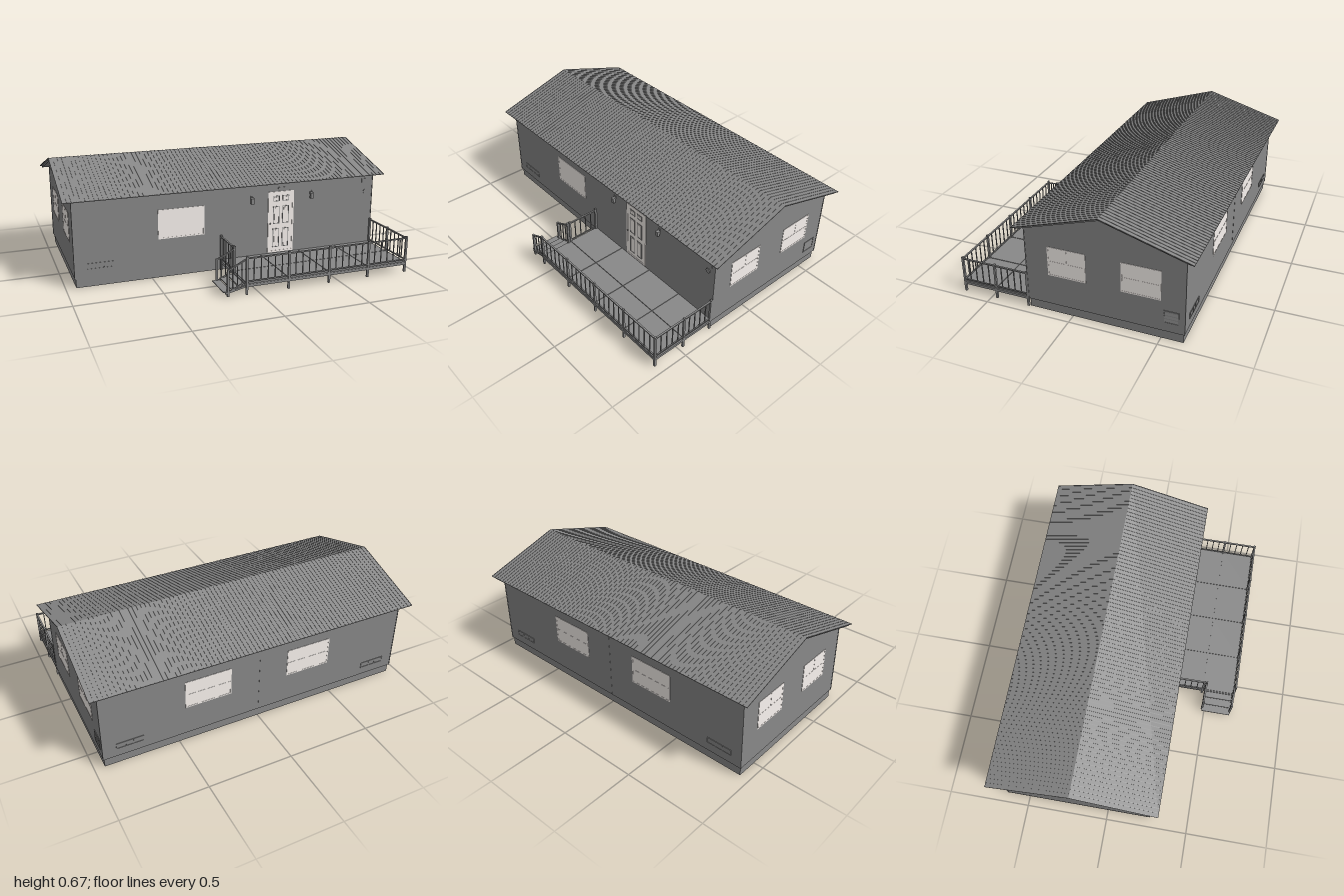
import * as THREE from 'three';
import { mergeGeometries } from 'three/addons/utils/BufferGeometryUtils.js';

const grey = new THREE.MeshStandardMaterial({ color: 0x888888 });
const pale = new THREE.MeshStandardMaterial({ color: 0xfaf4f0 });

const RIDGE_Z = -0.185, RIDGE_Y = 0.662, SLOPE = 0.304;
const FRONT = 0.263, BACK = -0.628, SIDE = 0.947, FLOOR = 0.053;
const DECK_Y = 0.065, DECK_FRONT = 0.67, DECK_LEFT = 0.943, DECK_RIGHT = -0.075, DECK_MID = 0.468, STAIR_Z = 0.484;

function group(parent, name) {
  const g = new THREE.Group();
  g.name = name;
  parent.add(g);
  return g;
}

function add(parent, name, geometry, material = grey) {
  const mesh = new THREE.Mesh(geometry, material);
  mesh.name = name;
  parent.add(mesh);
  return mesh;
}

// Box given by its extents along each axis
function block(parent, name, [x0, x1], [y0, y1], [z0, z1], material) {
  const mesh = add(parent, name, new THREE.BoxGeometry(x1 - x0, y1 - y0, z1 - z0), material);
  mesh.position.set((x0 + x1) / 2, (y0 + y1) / 2, (z0 + z1) / 2);
  return mesh;
}

// Square bar running between two points
function bar(parent, name, a, b, w, h = w) {
  const mesh = add(parent, name, new THREE.BoxGeometry(w, h, a.distanceTo(b)));
  mesh.position.copy(a).lerp(b, 0.5);
  mesh.lookAt(b);
  return mesh;
}

// Profile of [z, y] points extruded along x
function extrudeX(points, x0, x1) {
  const shape = new THREE.Shape(points.map(([z, y]) => new THREE.Vector2(-z, y)));
  return new THREE.ExtrudeGeometry(shape, { depth: x1 - x0, bevelEnabled: false })
    .rotateY(Math.PI / 2).translate(x0, 0, 0);
}

// Inverted V that follows the roof pitch
function chevron(half, top, bottom, x0, x1) {
  const y = RIDGE_Y, drop = half * SLOPE;
  return extrudeX([
    [RIDGE_Z + half, y - drop + bottom], [RIDGE_Z + half, y - drop + top], [RIDGE_Z, y + top],
    [RIDGE_Z - half, y - drop + top], [RIDGE_Z - half, y - drop + bottom], [RIDGE_Z, y + bottom],
  ], x0, x1);
}

// Group lying on a wall, with local +z pointing outwards
function onWall(parent, name, wall, along, y) {
  const g = group(parent, name);
  const [x, z, turn] = {
    front: [along, FRONT, 0], back: [along, BACK, Math.PI],
    left: [SIDE, along, Math.PI / 2], right: [-SIDE, along, -Math.PI / 2],
  }[wall];
  g.position.set(x, y, z);
  g.rotation.y = turn;
  return g;
}

function frame(g, w, h, t, d, material) {
  for (const s of [-1, 1]) {
    const x = s * (w - t) / 2, y = s * (h - t) / 2;
    block(g, 'frameStile', [x - t / 2, x + t / 2], [-h / 2, h / 2], [-0.002, d], material);
    block(g, 'frameRail', [t - w / 2, w / 2 - t], [y - t / 2, y + t / 2], [-0.002, d], material);
  }
}

// Window with an optional sash bar and half-height mullion
function addWindow(parent, wall, along, w) {
  const g = onWall(parent, 'window', wall, along, 0.323), h = 0.175;
  block(g, 'glass', [-w / 2, w / 2], [-h / 2, h / 2], [-0.002, 0.001], pale);
  frame(g, w, h, 0.007, 0.002, pale);
  if (wall === 'front') return;
  block(g, 'sashBar', [0.007 - w / 2, w / 2 - 0.007], [-0.002, 0.002], [0, 0.002], pale);
  if (wall !== 'back') block(g, 'mullion', [-0.002, 0.002], [0.002, h / 2 - 0.007], [0, 0.002], pale);
}

// Framed vent split by vertical bars
function addVent(parent, wall, along) {
  const g = onWall(parent, 'wallVent', wall, along, 0.122);
  block(g, 'ventPlate', [-0.08, 0.08], [-0.018, 0.018], [-0.002, 0.001]);
  frame(g, 0.16, 0.036, 0.004, 0.003);
  for (const x of [-0.022, 0.022]) block(g, 'ventBar', [x - 0.002, x + 0.002], [-0.014, 0.014], [0, 0.003]);
}

function addDoor(parent) {
  const g = onWall(parent, 'door', 'front', 0.313, 0.262);
  block(g, 'doorLeaf', [-0.085, 0.085], [-0.192, 0.192], [-0.002, 0.002], pale);
  frame(g, 0.17, 0.384, 0.01, 0.004, pale);
  for (const x of [-0.031, 0.031]) {
    for (const [y, h] of [[0.148, 0.035], [0.045, 0.11], [-0.1, 0.12]]) {
      const panel = group(g, 'doorPanel');
      panel.position.set(x, y, 0.002);
      frame(panel, 0.043, h, 0.004, 0.002);
      block(panel, 'panelField', [-0.013, 0.013], [-h / 2 + 0.009, h / 2 - 0.009], [-0.001, 0.002], pale);
    }
  }
  const knob = add(g, 'doorKnob', new THREE.SphereGeometry(0.005, 12, 8));
  knob.position.set(-0.07, -0.007, 0.006);
  block(g, 'doorLight', [-0.022, 0.022], [0.206, 0.217], [-0.002, 0.004]);
}

function addSconce(parent, x) {
  const g = onWall(parent, 'wallLamp', 'front', x, 0.412);
  block(g, 'lampBack', [-0.007, 0.007], [0.005, 0.028], [-0.002, 0.002]);
  block(g, 'lampArm', [-0.002, 0.002], [0.021, 0.025], [0.001, 0.016]);
  block(g, 'lampShade', [-0.009, 0.009], [-0.018, 0.016], [0.006, 0.022]);
  const cap = add(g, 'lampCap', new THREE.ConeGeometry(0.014, 0.009, 4, 1, false, Math.PI / 4));
  cap.position.set(0, 0.02, 0.014);
}

// Top and bottom rails with evenly spaced balusters; a and b lie on the floor line
function railing(parent, a, b, count, height = 0.145) {
  const g = group(parent, 'railing');
  const up = (p, h) => p.clone().setY(p.y + h);
  bar(g, 'handRail', up(a, height), up(b, height), 0.01, 0.007);
  bar(g, 'bottomRail', up(a, 0.012), up(b, 0.012), 0.007);
  for (let i = 1; i <= count; i++) {
    const p = a.clone().lerp(b, i / (count + 1));
    block(g, 'baluster', [p.x - 0.0025, p.x + 0.0025], [p.y + 0.012, p.y + height], [p.z - 0.0025, p.z + 0.0025]);
  }
}

function post(parent, x, z, y0, y1, r = 0.006) {
  block(parent, 'post', [x - r, x + r], [y0, y1], [z - r, z + r]);
}

function addPorch(parent) {
  const g = group(parent, 'porch');
  const V = (x, y, z) => new THREE.Vector3(x, y, z);
  const xs = [0, 1, 2, 3, 4].map(i => DECK_RIGHT + (DECK_LEFT - DECK_RIGHT) * i / 4);

  // Deck panels, four by two, on a frame of beams and joists
  for (let i = 0; i < 4; i++) for (const [z0, z1] of [[FRONT, DECK_MID], [DECK_MID, DECK_FRONT + 0.006]]) {
    block(g, 'deckPanel', [xs[i] + 0.002, xs[i + 1] - 0.002], [0.056, DECK_Y], [z0 + 0.002, z1 - 0.002]);
  }
  for (const z of [FRONT + 0.006, DECK_MID, DECK_FRONT]) {
    block(g, 'deckBeam', [DECK_RIGHT - 0.006, DECK_LEFT + 0.006], [0.045, 0.06], [z - 0.006, z + 0.006]);
  }
  for (const x of xs) {
    block(g, 'deckJoist', [x - 0.006, x + 0.006], [0.046, 0.061], [FRONT, DECK_FRONT]);
    post(g, x, DECK_FRONT, 0, 0.22);
    post(g, x, DECK_MID, 0, 0.055);
  }

  // Railings round the deck, open at the stair
  for (let i = 0; i < 4; i++) railing(g, V(xs[i], DECK_Y, DECK_FRONT), V(xs[i + 1], DECK_Y, DECK_FRONT), 5);
  for (const x of [DECK_RIGHT, DECK_LEFT]) {
    railing(g, V(x, DECK_Y, FRONT + 0.007), V(x, DECK_Y, DECK_MID), 4);
    post(g, x, DECK_MID, 0, 0.22);
    post(g, x, FRONT + 0.007, 0, 0.22);
  }
  railing(g, V(DECK_LEFT, DECK_Y, DECK_MID), V(DECK_LEFT, DECK_Y, DECK_FRONT), 4);

  // Stair with open treads and sloping rails
  const stair = group(g, 'stair');
  post(stair, DECK_RIGHT, STAIR_Z, 0.05, 0.22);
  for (let i = 0; i < 3; i++) {
    const x = DECK_RIGHT - 0.045 * (i + 1), y = 0.054 - 0.012 * i;
    block(stair, 'tread', [x, x + 0.047], [y - 0.005, y], [STAIR_Z - 0.002, DECK_FRONT - 0.006]);
  }
  for (const z of [STAIR_Z, DECK_FRONT - 0.006]) {
    bar(stair, 'stringer', V(DECK_RIGHT, 0.048, z), V(-0.2, 0.02, z), 0.007, 0.01);
    railing(stair, V(DECK_RIGHT, DECK_Y, z), V(-0.183, 0.012, z), 3, 0.14);
    post(stair, -0.183, z, 0, 0.158);
  }
}

export function createModel() {
  const house = new THREE.Group();
  house.name = 'house';

  // Open skirt below a pale floor
  const skirt = group(house, 'skirt'), sx = SIDE - 0.006, sf = FRONT - 0.006, sb = BACK + 0.006;
  for (const z of [sf - 0.006, sb]) block(skirt, 'skirtLong', [-sx, sx], [0, FLOOR], [z, z + 0.006]);
  for (const x of [-sx, sx - 0.006]) block(skirt, 'skirtEnd', [x, x + 0.006], [0, FLOOR], [sb, sf]);
  block(house, 'floor', [0.006 - sx, sx - 0.006], [FLOOR - 0.004, FLOOR + 0.001], [sb + 0.006, sf - 0.006], pale);

  // Gabled body with thin corner trim and end gables
  const eave = RIDGE_Y - 0.01 - SLOPE * 0.445, apex = RIDGE_Y - 0.01;
  add(house, 'walls', extrudeX(
    [[FRONT, FLOOR], [FRONT, eave], [RIDGE_Z, apex], [BACK, eave], [BACK, FLOOR]], -SIDE, SIDE));
  add(house, 'gables', extrudeX([[FRONT, eave], [RIDGE_Z, apex], [BACK, eave]], -SIDE - 0.002, SIDE + 0.002));
  for (const x of [-SIDE, SIDE]) for (const z of [BACK, FRONT]) {
    block(house, 'cornerTrim', [x - 0.002, x + 0.002], [FLOOR, eave], [z - 0.002, z + 0.002]);
  }
  block(house, 'backSeamTrim', [-0.001, 0.001], [FLOOR, eave], [BACK - 0.001, BACK + 0.002]);

  // Roof boards, metal sheet and its ribs
  const roof = group(house, 'roof');
  add(roof, 'roofBoards', chevron(0.475, 0, -0.012, -0.99, 0.99));
  add(roof, 'roofSheet', chevron(0.495, 0.002, -0.001, -1, 1));
  const ribs = [];
  for (let i = 0; i <= 80; i++) {
    const x = -0.998 + i * 1.996 / 80;
    ribs.push(chevron(0.495, 0.004, 0.001, x - 0.002, x + 0.002));
  }
  add(roof, 'roofRibs', mergeGeometries(ribs));

  // Windows, vents, door and lamps
  addWindow(house, 'front', -0.32, 0.28);
  for (const x of [-0.32, 0.32]) addWindow(house, 'back', x, 0.28);
  for (const wall of ['left', 'right']) for (const z of [0.024, -0.39]) addWindow(house, wall, z, 0.218);
  addVent(house, 'front', -0.8);
  for (const x of [-0.8, 0.79]) addVent(house, 'back', x);
  addDoor(house);
  for (const x of [0.12, 0.513]) addSconce(house, x);

  // Louvred vent on the end wall
  const louvre = onWall(house, 'louvreVent', 'left', -0.555, 0.143);
  block(louvre, 'louvrePlate', [-0.042, 0.042], [-0.037, 0.037], [-0.002, 0.001]);
  frame(louvre, 0.084, 0.076, 0.005, 0.003);
  for (const y of [-0.02, 0, 0.02]) {
    block(louvre, 'slat', [-0.037, 0.037], [y - 0.008, y + 0.008], [0, 0.002]).rotation.x = -0.15;
  }

  // Utility box with a round meter
  const utility = onWall(house, 'utilityBox', 'front', 0.897, 0.46);
  block(utility, 'boxBody', [-0.028, 0.028], [-0.025, 0.025], [-0.002, 0.003]);
  const meter = add(utility, 'meter', new THREE.CylinderGeometry(0.015, 0.015, 0.006, 16).rotateX(Math.PI / 2));
  meter.position.set(0, -0.06, 0.001);

  addPorch(house);
  return house;
}
